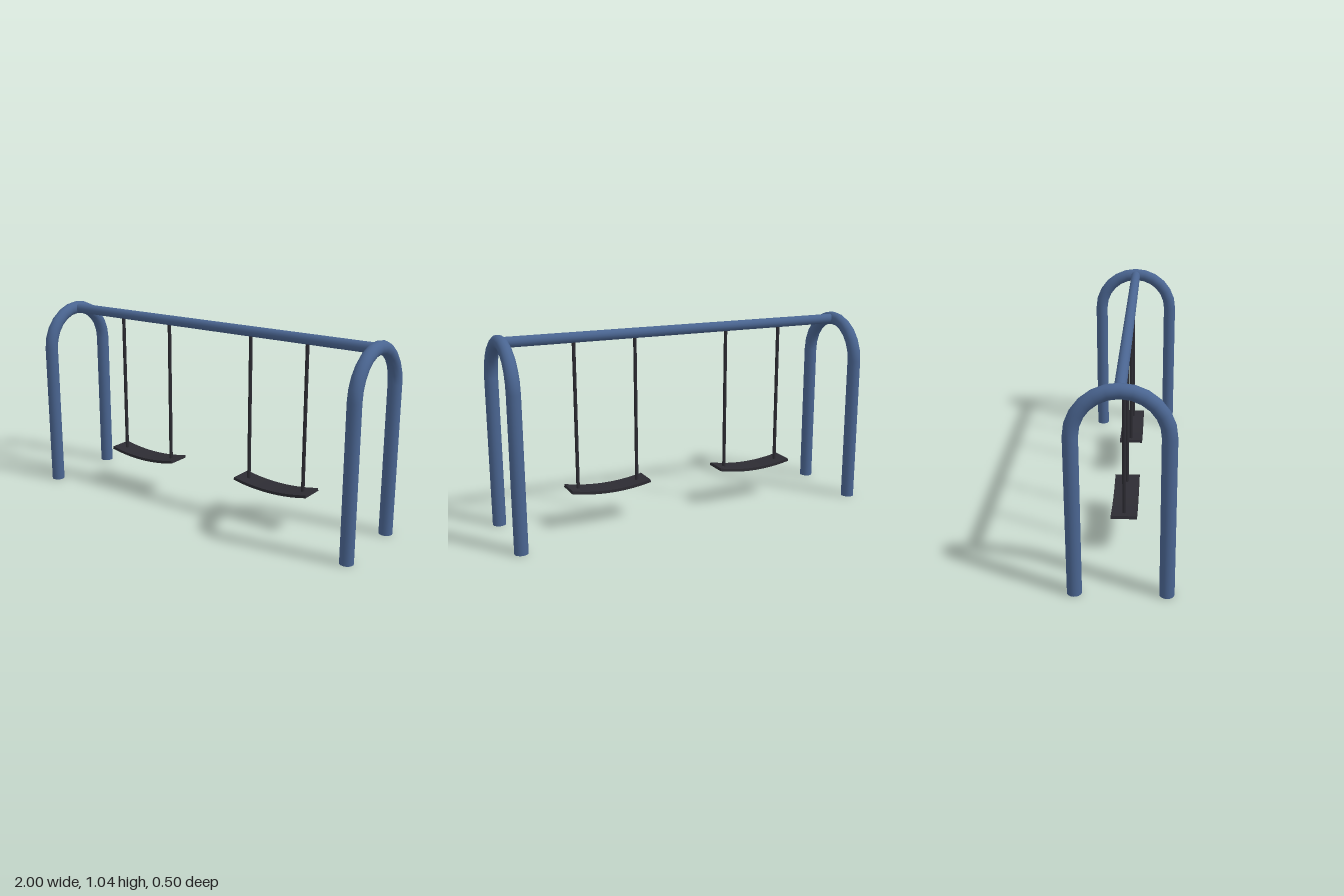
import * as THREE from 'three';

const blue = new THREE.MeshStandardMaterial({ color: 0x4a6591 });
blue.name = 'blue painted steel';
const dark = new THREE.MeshStandardMaterial({ color: 0x2d2c33 });
dark.name = 'dark rubber';

const ARCH_X = 0.965, TUBE = 0.035, BEND = 0.2125, LEG_H = 0.79, BAR_Y = 1.0;

function add(parent, name, geometry, material, x = 0, y = 0, z = 0) {
  const mesh = new THREE.Mesh(geometry, material);
  mesh.name = name;
  mesh.position.set(x, y, z);
  parent.add(mesh);
  return mesh;
}

// Half-ring top of an end frame, slightly flattened sideways towards its crown
function bendGeometry() {
  const g = new THREE.TorusGeometry(BEND, TUBE, 16, 12, Math.PI).rotateY(Math.PI / 2);
  const p = g.attributes.position;
  for (let i = 0; i < p.count; i++) {
    const t = Math.min(1, Math.max(0, p.getY(i) / BEND));
    p.setX(i, p.getX(i) * (1 - 0.12 * t * t));
  }
  return g;
}

// Sagging seat: a thin arc strip extruded across its depth
function seatGeometry() {
  const R = 1.0, thick = 0.015, depth = 0.128, half = Math.asin(0.22 / R);
  const down = -Math.PI / 2;
  const s = new THREE.Shape();
  s.absarc(0, R, R, down - half, down + half, false);
  s.absarc(0, R, R - thick, down + half, down - half, true);
  return new THREE.ExtrudeGeometry(s, { depth, bevelEnabled: false, curveSegments: 8 })
    .translate(0, 0, -depth / 2);
}

export function createModel() {
  const model = new THREE.Group();
  model.name = 'swingSet';

  // End frames
  const bend = bendGeometry();
  const leg = new THREE.CylinderGeometry(TUBE, TUBE, LEG_H, 16);
  for (const side of [-1, 1]) {
    const frame = new THREE.Group();
    frame.name = side > 0 ? 'leftFrame' : 'rightFrame';
    frame.position.x = side * ARCH_X;
    add(frame, 'archBend', bend, blue, 0, LEG_H, 0);
    add(frame, 'frontLeg', leg, blue, 0, LEG_H / 2, BEND);
    add(frame, 'backLeg', leg, blue, 0, LEG_H / 2, -BEND);
    model.add(frame);
  }

  // Top bar
  const bar = new THREE.CylinderGeometry(0.027, 0.027, 2 * ARCH_X, 16).rotateZ(Math.PI / 2);
  add(model, 'topBar', bar, blue, 0, BAR_Y, 0);

  // Two swings, each a curved seat on two hangers
  const seat = seatGeometry();
  const hangerBottom = 0.2, hangerTop = 0.985;
  const hanger = new THREE.CylinderGeometry(0.0095, 0.0095, hangerTop - hangerBottom, 8);
  for (const side of [-1, 1]) {
    const swing = new THREE.Group();
    swing.name = side > 0 ? 'leftSwing' : 'rightSwing';
    swing.position.x = side * 0.43;
    add(swing, 'seat', seat, dark, 0, 0.182, 0);
    for (const s of [-1, 1]) {
      add(swing, 'hanger', hanger, dark, s * 0.165, (hangerTop + hangerBottom) / 2, 0);
    }
    model.add(swing);
  }
  return model;
}
